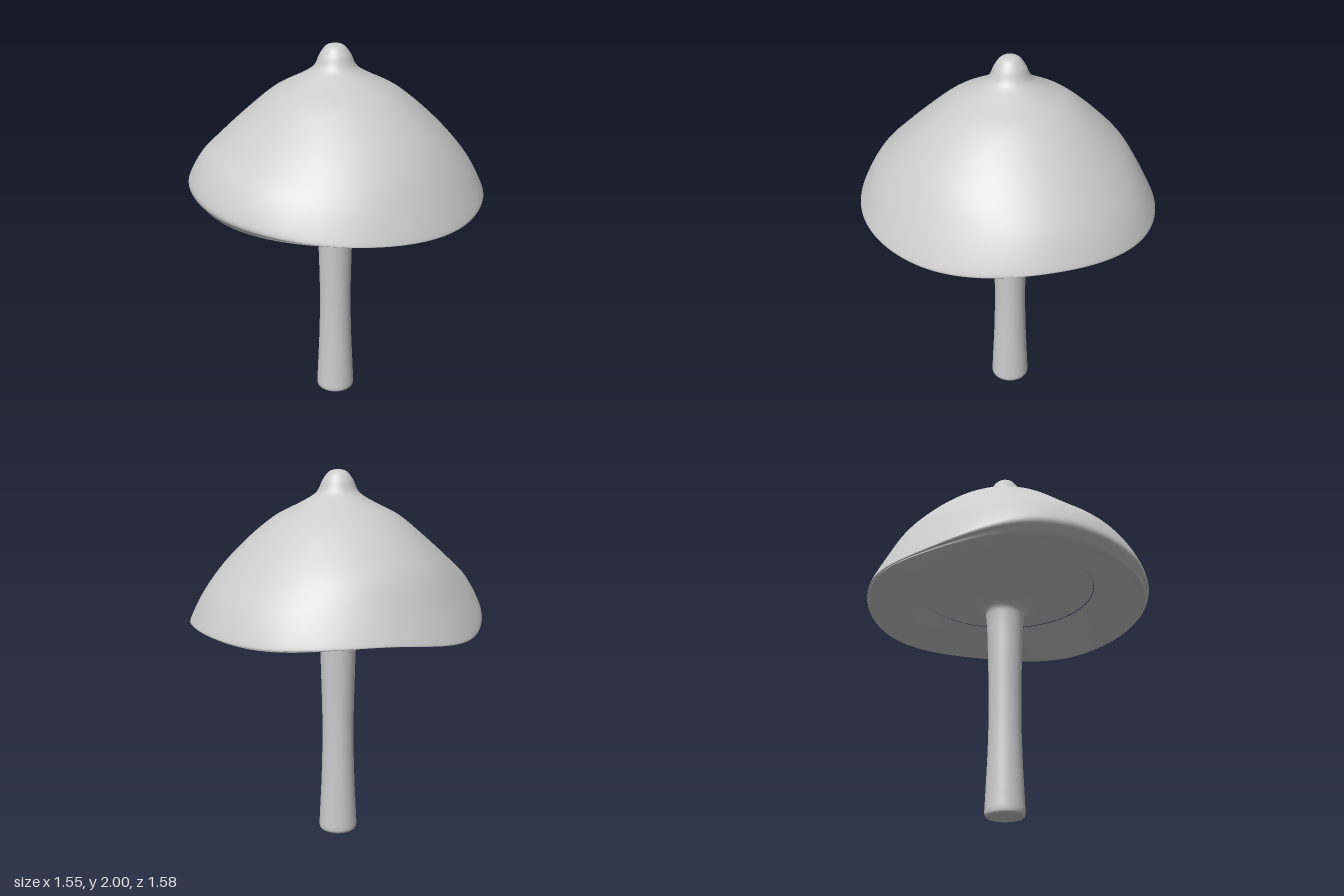
import * as THREE from 'three';

const material = new THREE.MeshStandardMaterial({ color: 0xcccccc, roughness: 0.8 });
const v2 = (x, y) => new THREE.Vector2(x, y);

// Rim values every 45 degrees, from +x towards +z
const RIM_RADIUS = [0.77, 0.78, 0.785, 0.78, 0.77, 0.757, 0.785, 0.78];
const RIM_HEIGHT = [1.195, 1.225, 1.28, 1.305, 1.185, 1.225, 1.21, 1.23];
const RIM_BOTTOM = [1.17, 1.212, 1.21, 1.222, 1.165, 1.212, 1.187, 1.21];

// Smooth periodic interpolation, t in 0..1
function around(values, t) {
  const n = values.length, f = t * n, i = Math.floor(f), u = f - i;
  const [a, b, c, d] = [-1, 0, 1, 2].map(k => values[(i + k + n) % n]);
  return b + 0.5 * u * (c - a + u * (2 * a - 5 * b + 4 * c - d + u * (3 * (b - c) + d - a)));
}

// Half section of the cap: knob, dome, rolled rim, underside
function capSection(t) {
  const r = around(RIM_RADIUS, t), e = around(RIM_HEIGHT, t), b = around(RIM_BOTTOM, t);
  const lift = e - 1.19, inset = 0.015 + (e - b) * 0.6;
  return new THREE.SplineCurve([
    v2(0, 2), v2(0.045, 1.988), v2(0.08, 1.945), v2(0.115, 1.878), v2(0.2, 1.825),
    v2(0.33, 1.757), v2(0.47, 1.643), v2(0.6, 1.5 + lift * 0.3),
    v2(r - 0.073, 1.34 + lift * 0.85), v2(r, e),
    v2(r - inset * 0.35, b + (e - b) * 0.3), v2(r - inset, b),
    v2(0.61, b + (1.29 - b) * 0.5), v2(0.49, 1.29),
  ]);
}

// Cap lofted from sections turned around the axis
function capGeometry(segments = 128, rows = 90) {
  const positions = [], indices = [];
  for (let s = 0; s < segments; s++) {
    const t = s / segments, angle = t * Math.PI * 2;
    for (const p of capSection(t).getPoints(rows)) {
      const x = Math.max(p.x, 0);
      const shift = -0.01 * Math.max(0, 1 - x / 0.77);
      positions.push(x * Math.cos(angle) + shift, p.y, x * Math.sin(angle));
    }
  }
  const stride = rows + 1;
  for (let s = 0; s < segments; s++) {
    const a0 = s * stride, b0 = ((s + 1) % segments) * stride;
    for (let k = 0; k < rows; k++) {
      const a = a0 + k, b = b0 + k;
      if (k > 0) indices.push(a, b, b + 1);
      indices.push(a, b + 1, a + 1);
    }
  }
  // All sections share one apex vertex
  const geometry = new THREE.BufferGeometry();
  geometry.setAttribute('position', new THREE.Float32BufferAttribute(positions, 3));
  geometry.setIndex(indices.map(i => (i % stride === 0 ? 0 : i)));
  geometry.computeVertexNormals();
  return geometry;
}

// Stem with a slim waist, flaring into the underside disc
function stemGeometry() {
  const side = new THREE.SplineCurve([
    v2(0.095, 0), v2(0.104, 0.02), v2(0.101, 0.1), v2(0.09, 0.35), v2(0.086, 0.6),
    v2(0.092, 0.88), v2(0.1, 1.08), v2(0.115, 1.145), v2(0.17, 1.18),
    v2(0.29, 1.22), v2(0.4, 1.258), v2(0.49, 1.291),
  ]);
  return new THREE.LatheGeometry(side.getPoints(80), 64);
}

export function createModel() {
  const model = new THREE.Group();
  model.name = 'mushroom';

  const add = (name, geometry, parent = model) => {
    const mesh = new THREE.Mesh(geometry, material);
    mesh.name = name;
    parent.add(mesh);
    return mesh;
  };

  add('cap', capGeometry());
  const stem = add('stem', stemGeometry());
  stem.position.x = -0.01;

  // Flat base of the stem
  const base = add('stemBase', new THREE.CircleGeometry(0.095, 64), stem);
  base.rotation.x = Math.PI / 2;

  return model;
}
